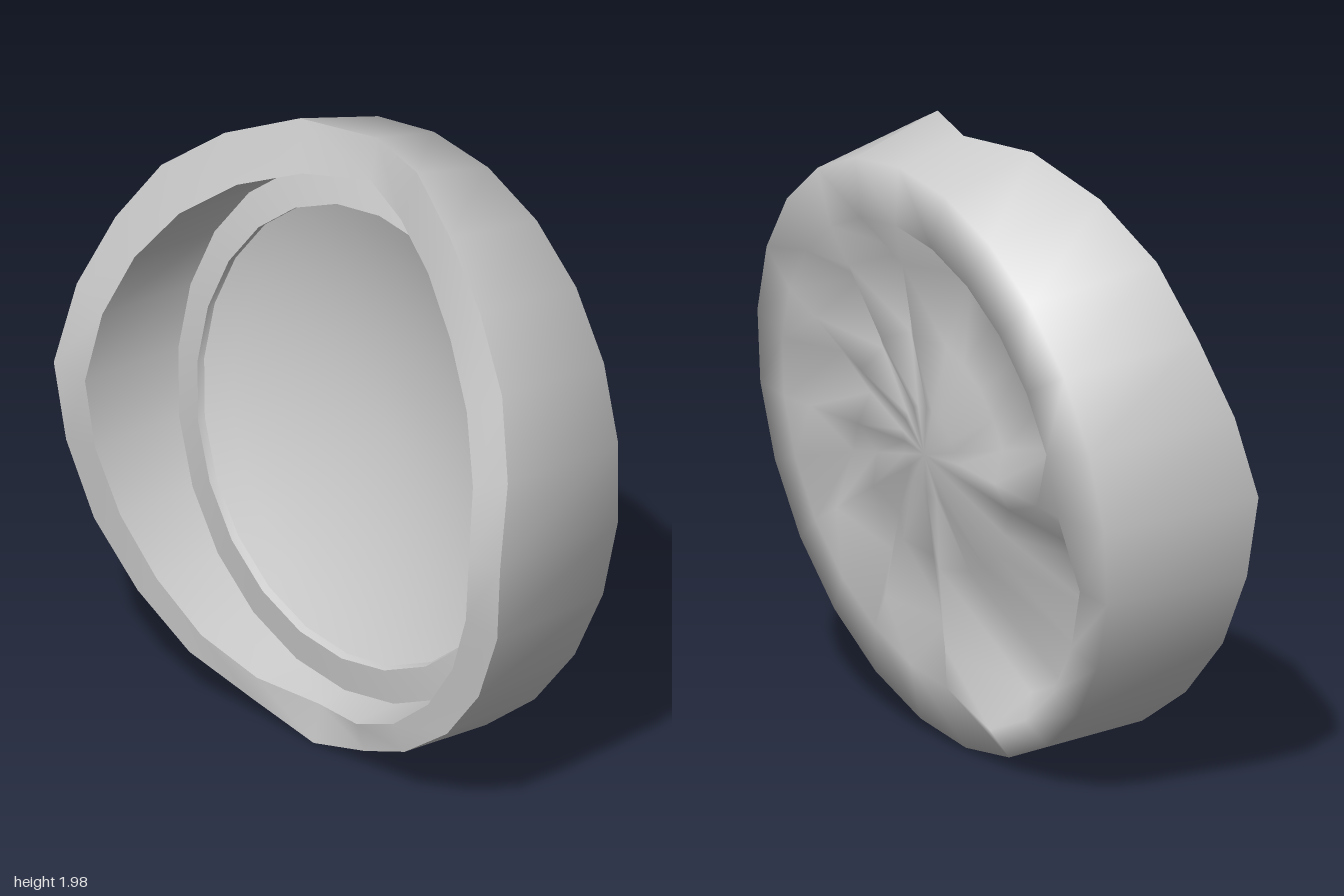
import * as THREE from 'three';
import { mergeVertices } from 'three/addons/utils/BufferGeometryUtils.js';

const SIDES = 24;
const angle = (j) => (j / SIDES) * Math.PI * 2; // clockwise from the top, seen from the front

// A ring of points: radius (number or rule), centre height, depth rule (x, y, j) => z
function ring(radius, centreY, depth) {
  const points = [];
  for (let j = 0; j < SIDES; j++) {
    const a = angle(j);
    const r = typeof radius === 'function' ? radius(j) : radius;
    const x = r * Math.sin(a);
    const y = centreY + r * Math.cos(a);
    points.push([x, y, depth(x, y, j)]);
  }
  return points;
}

// Smooth skin through successive closed rings
function loft(name, rings) {
  const index = [];
  for (let i = 0; i < rings.length - 1; i++) {
    for (let j = 0; j < SIDES; j++) {
      const k = (j + 1) % SIDES;
      const a = i * SIDES + j, b = i * SIDES + k;
      const c = a + SIDES, d = b + SIDES;
      index.push(a, b, c, b, d, c);
    }
  }
  let geometry = new THREE.BufferGeometry();
  geometry.setAttribute('position', new THREE.Float32BufferAttribute(rings.flat(2), 3));
  geometry.setIndex(index);
  geometry = mergeVertices(geometry, 1e-4);
  geometry.computeVertexNormals();
  const material = new THREE.MeshStandardMaterial({ color: 0xcccccc, side: THREE.DoubleSide });
  const mesh = new THREE.Mesh(geometry, material);
  mesh.name = name;
  return mesh;
}

// Tilted planes that the flange, dish and back follow
const tilt = (z, slope) => (x, y) => z - slope * (y - 1);
const flangeInnerDepth = tilt(-0.02, 0.11);
const flangeOuterDepth = tilt(-0.045, 0.11);
const dishEdgeDepth = tilt(-0.045, 0.11);
const crestDepth = tilt(-0.25, 0.125);
const backEdgeDepth = tilt(-0.21, 0.13);

// Concave dish, deepest in the middle
const DISH_RADIUS = 0.727, DISH_Y = 0.984;
function dishDepth(x, y) {
  const t = Math.min(1, Math.hypot(x, y - DISH_Y) / DISH_RADIUS);
  return dishEdgeDepth(x, y) - 0.165 * (1 - t * t);
}

// Front rim depths from top to bottom, mirrored to the other half
const OUTER_RIM = [-0.09, -0.01, 0.08, 0.15, 0.2, 0.27, 0.335, 0.315, 0.295, 0.27, 0.25, 0.2, 0.18];
const INNER_RIM = [-0.06, 0.02, 0.1, 0.175, 0.235, 0.29, 0.335, 0.32, 0.295, 0.27, 0.25, 0.21, 0.155];
const RIM_RADIUS = [0.98, 1.015, 1.01, 1.01, 1, 1, 1, 1, 0.995, 0.98, 0.965, 0.965, 1];
const mirrored = (table, j) => table[Math.min(j, SIDES - j)];

// Ribs fan over the left half; the right half keeps only three of them
const RIBS = [0, 2, 4, 6, 8, 10, 12, 18];
const isOpen = (j) => j > 12 && j < 18; // lower right sector, hollowed out to the edge
function valleyDepth(share) {
  return (x, y, j) => {
    const crest = crestDepth(x, y) + 0.035 * (1 - share);
    if (RIBS.includes(j)) return crest + 0.01;
    const drop = j > 12 ? 0.25 : 0.135;
    return Math.min(crest + share * drop, dishDepth(x, y) - 0.014); // stay behind the dish
  };
}

export function createModel() {
  const group = new THREE.Group();
  group.name = 'roundHousing';

  const outerFront = ring((j) => mirrored(RIM_RADIUS, j), 1, (x, y, j) => mirrored(OUTER_RIM, j));
  const innerFront = ring(0.86, 0.985, (x, y, j) => mirrored(INNER_RIM, j));
  const flangeOuter = ring(0.842, 0.98, flangeOuterDepth);
  const flangeInner = ring(0.73, 0.98, flangeInnerDepth);

  // Dish with a short lip joining it to the flange
  const dish = [];
  for (let i = 0; i <= 8; i++) dish.push(ring((DISH_RADIUS * i) / 8, DISH_Y, dishDepth));
  group.add(loft('dish', dish));
  group.add(loft('dishLip', [dish[8], flangeInner]));

  // Flange, inner wall and front rim
  group.add(loft('flange', [flangeInner, flangeOuter]));
  group.add(loft('innerWall', [flangeOuter, innerFront]));
  group.add(loft('frontRim', [innerFront, outerFront]));

  // Outer shell running over the back edge into the ribs and hub
  group.add(loft('shellAndRibbedBack', [
    outerFront,
    ring(0.955, 0.965, backEdgeDepth),
    ring((j) => (isOpen(j) ? 0.87 : 0.76), 0.975, crestDepth),
    ring((j) => (isOpen(j) ? 0.78 : 0.63), 0.975, valleyDepth(1)),
    ring(0.38, 0.98, valleyDepth(0.7)),
    ring(0.15, 0.98, valleyDepth(0.15)),
    ring(0, 0.98, () => -0.235),
  ]));

  return group;
}
